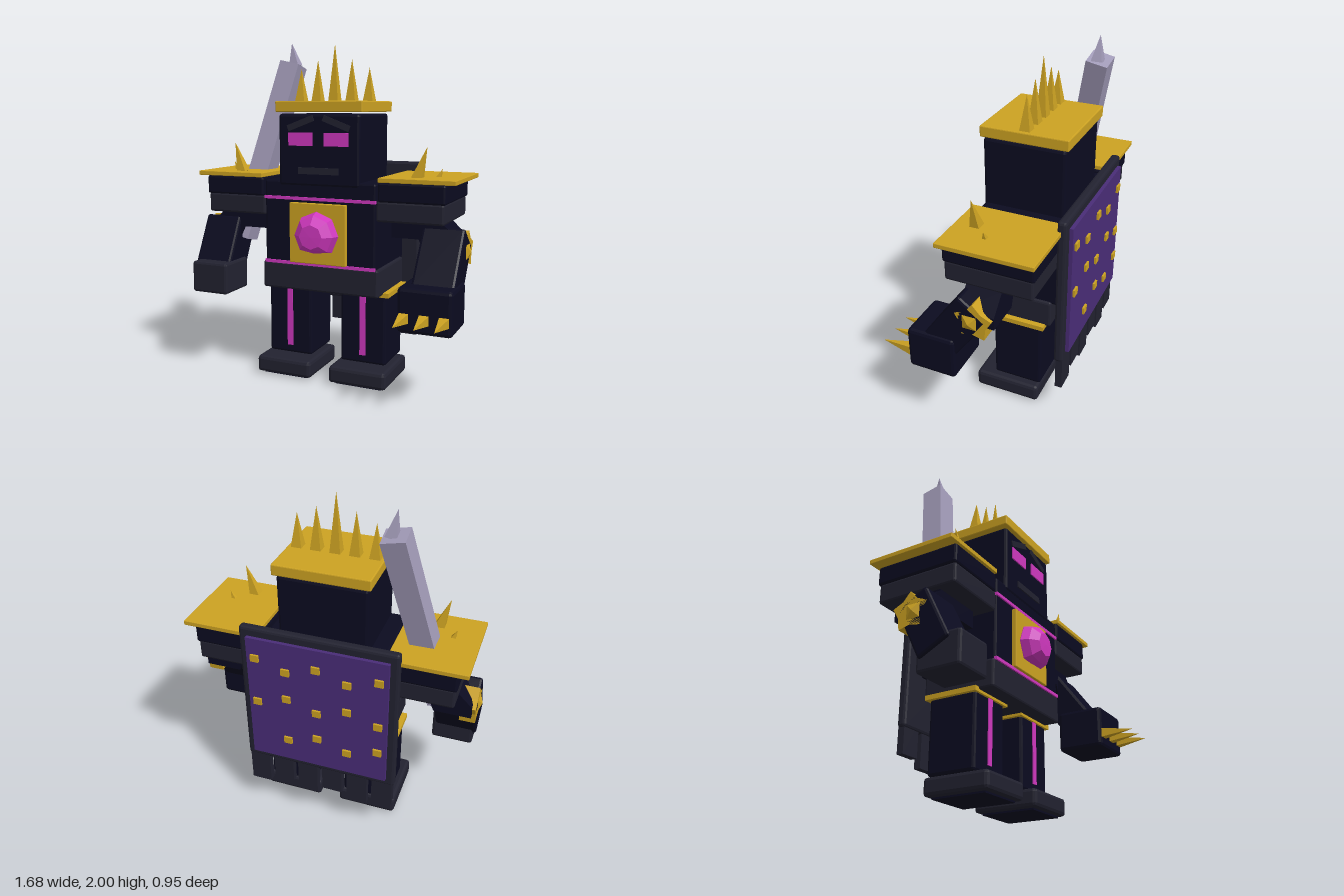
import * as THREE from 'three';
import { RoundedBoxGeometry } from 'three/addons/geometries/RoundedBoxGeometry.js';

const mat = (name, color) => {
  const m = new THREE.MeshStandardMaterial({ color });
  m.name = name;
  return m;
};

export function createModel() {
  const root = new THREE.Group();
  root.name = 'armouredFigure';
  const navy = mat('navy', 0x0b0b20);
  const slate = mat('slate', 0x222230);
  const gold = mat('gold', 0xcca222);
  const pink = mat('pink', 0xd038bf);
  const purple = mat('purple', 0x4a2d78);
  const steel = mat('steel', 0xa29bb8);

  const add = (name, geo, m, parent = root) => {
    const g = geo.index ? geo.toNonIndexed() : geo;
    g.computeVertexNormals();
    const mesh = new THREE.Mesh(g, m);
    mesh.name = name;
    parent.add(mesh);
    return mesh;
  };
  // Box given by its limits, with an optional bevel
  const box = (name, m, x0, x1, y0, y1, z0, z1, bevel = 0, parent = root) => {
    const s = [x1 - x0, y1 - y0, z1 - z0];
    const g = bevel ? new RoundedBoxGeometry(...s, 1, bevel) : new THREE.BoxGeometry(...s);
    const mesh = add(name, g, m, parent);
    mesh.position.set((x0 + x1) / 2, (y0 + y1) / 2, (z0 + z1) / 2);
    return mesh;
  };
  // Lay a geometry built along y between two points
  const along = (mesh, a, b) => {
    const p = new THREE.Vector3(...a), q = new THREE.Vector3(...b);
    mesh.position.copy(p).add(q).multiplyScalar(0.5);
    mesh.quaternion.setFromUnitVectors(new THREE.Vector3(0, 1, 0), q.sub(p).normalize());
    return mesh;
  };
  // Square pyramid from base centre to tip
  const spike = (name, m, a, b, half, parent = root) => {
    const h = new THREE.Vector3(...a).distanceTo(new THREE.Vector3(...b));
    const g = new THREE.ConeGeometry(half * Math.SQRT2, h, 4).rotateY(Math.PI / 4);
    return along(add(name, g, m, parent), a, b);
  };

  // Head and face
  box('head', navy, -0.25, 0.25, 1.16, 1.57, -0.36, 0.105, 0.015);
  for (const s of [-1, 1]) {
    const c = s * 0.11;
    box('eye', pink, c - 0.075, c + 0.075, 1.39, 1.465, 0.104, 0.112);
    const brow = box('brow', slate, c - 0.085, c + 0.085, 1.5, 1.535, 0.1, 0.111);
    brow.rotation.z = -s * 0.36;
  }
  box('mouth', slate, -0.125, 0.125, 1.23, 1.268, 0.104, 0.112);

  // Crown
  box('crownPlate', gold, -0.267, 0.267, 1.58, 1.642, -0.38, 0.116, 0.006);
  [1.83, 1.88, 1.97, 1.88, 1.83].forEach((top, i) => {
    const x = (i - 2) * 0.108;
    spike('crownSpike', gold, [x, 1.64, -0.13], [x, top, -0.13], 0.03);
  });

  // Torso with trim, chest plate and gem
  box('torso', navy, -0.345, 0.345, 0.69, 1.19, -0.385, 0.1, 0.012);
  box('waist', slate, -0.362, 0.362, 0.545, 0.705, -0.34, 0.1, 0.012);
  for (const y of [0.708, 1.088]) box('trim', pink, -0.345, 0.345, y - 0.009, y + 0.009, 0.09, 0.109);
  box('chestPlate', gold, -0.175, 0.175, 0.715, 1.065, 0.09, 0.125, 0.004);
  const profile = [[0.115, 0.1], [0.135, 0.13], [0.118, 0.175], [0.07, 0.215], [0, 0.217]]
    .map(([r, z]) => new THREE.Vector2(r, z));
  const gem = new THREE.LatheGeometry(profile, 8).rotateX(Math.PI / 2);
  const gp = gem.attributes.position;
  for (let i = 0; i < gp.count; i++) gp.setY(i, Math.max(gp.getY(i), -0.098));
  add('chestGem', gem, pink).position.y = 0.887;

  // Legs
  for (const s of [-1, 1]) {
    const c = s * 0.235;
    box('leg', navy, c - 0.14, c + 0.14, 0.12, 0.54, -0.29, 0, 0.015);
    box('legStripe', pink, c - 0.018, c + 0.018, 0.17, 0.53, -0.002, 0.006);
    box('hipPlate', gold, c - 0.16, c + 0.16, 0.53, 0.557, -0.31, 0.012);
    box('foot', slate, c - 0.176, c + 0.176, 0.01, 0.11, -0.285, 0.105, 0.02);
    box('sole', navy, c - 0.14, c + 0.14, 0, 0.012, -0.25, 0.07);
  }

  // Cape with studs and hanging strips
  box('capeFrame', slate, -0.447, 0.447, 0.39, 1.28, -0.447, -0.395, 0.015);
  box('capePanel', purple, -0.4, 0.4, 0.44, 1.23, -0.468, -0.44);
  for (let i = 0; i < 14; i++) {
    const k = i < 10 ? i : i + 1;
    const col = k % 5, row = Math.floor(k / 5);
    const x = 0.35 - col * 0.175, y = 1.11 - row * 0.235 - ((col + row) % 2) * 0.055;
    box('capeStud', gold, x - 0.024, x + 0.024, y - 0.021, y + 0.021, -0.48, -0.46);
  }
  for (let i = 0; i < 6; i++) {
    const x = -0.375 + i * 0.15;
    box('capeStrip', slate, x - 0.06, x + 0.06, i % 2 ? 0.2 : 0.245, 0.45, -0.445, -0.405);
  }

  // Arms: built on the left side, mirrored by sign for the right
  const elbowShape = [[0.4, 1], [0.7, 1], [0.7, 0.97], [0.8, 0.87], [0.8, 0.8], [0.59, 0.8], [0.56, 0.88], [0.4, 0.88]];
  for (const s of [-1, 1]) {
    const arm = new THREE.Group();
    arm.name = s > 0 ? 'leftArm' : 'rightArm';
    root.add(arm);
    const side = (name, m, x0, x1, ...rest) =>
      box(name, m, Math.min(s * x0, s * x1), Math.max(s * x0, s * x1), ...rest, arm);

    side('shoulderPlate', gold, 0.36, 0.793, 1.2, 1.226, -0.42, 0.116, 0.003);
    side('shoulderBlock', navy, 0.355, 0.738, 1.09, 1.2, -0.4, 0.106, 0.012);
    side('shoulderBand', slate, 0.345, 0.73, 0.98, 1.095, -0.39, 0.1, 0.012);
    spike('shoulderSpike', gold, [s * 0.55, 1.22, 0], [s * 0.603, 1.395, 0], 0.029, arm);
    spike('smallSpike', gold, [s * 0.645, 1.222, -0.095], [s * 0.665, 1.27, -0.095], 0.013, arm);

    // Upper arm bending out to the elbow
    const pts = elbowShape.map(([x, y]) => new THREE.Vector2(s * x, y));
    const upper = new THREE.ExtrudeGeometry(new THREE.Shape(pts), { depth: 0.2, bevelEnabled: false });
    add('upperArm', upper, navy, arm).position.z = -0.21;

    // Forearm slanting forward to the hand
    const z1 = s > 0 ? 0.12 : 0.05;
    const a = [s * 0.7, 0.6, z1], b = [s * 0.7, 0.9, -0.1];
    const len = Math.hypot(0.3, z1 + 0.1);
    along(add('forearm', new RoundedBoxGeometry(0.24, len, 0.2, 1, 0.015), navy, arm), a, b);
    if (s > 0) {
      side('hand', navy, 0.535, 0.835, 0.43, 0.675, 0.01, 0.29, 0.02);
      for (const x of [0.575, 0.685, 0.792]) {
        spike('fistSpike', gold, [x, 0.512, 0.285], [x, 0.512, 0.473], 0.027, arm);
      }
    } else {
      side('hand', slate, 0.565, 0.803, 0.49, 0.68, -0.06, 0.197, 0.015);
    }

    // Jagged elbow guard
    const star = new THREE.Shape();
    for (let i = 0; i < 10; i++) {
      const t = (i / 10) * Math.PI * 2 + 0.3, r = i % 2 ? 0.075 : 0.11;
      star[i ? 'lineTo' : 'moveTo'](Math.cos(t) * r, Math.sin(t) * r);
    }
    const guard = new THREE.ExtrudeGeometry(star, { depth: 0.09, bevelEnabled: false });
    guard.translate(0, 0, -0.045).rotateY(Math.PI / 2);
    add('elbowGuard', guard, gold, arm).position.set(s * 0.775, 0.825, -0.1);
    spike('elbowSpike', gold, [s * 0.815, 0.82, -0.08], [s * 0.84, 0.82, -0.08], 0.05, arm);
  }

  // Sword slung through the right shoulder
  const lo = [-0.605, 0.8, -0.085], hi = [-0.363, 1.87, -0.317];
  const blade = new THREE.BoxGeometry(0.13, Math.hypot(0.242, 1.07, 0.232), 0.125);
  along(add('swordBlade', blade, steel), lo, hi);
  spike('swordTip', steel, [-0.345, 1.86, -0.31], [-0.37, 2, -0.31], 0.032);

  return root;
}
